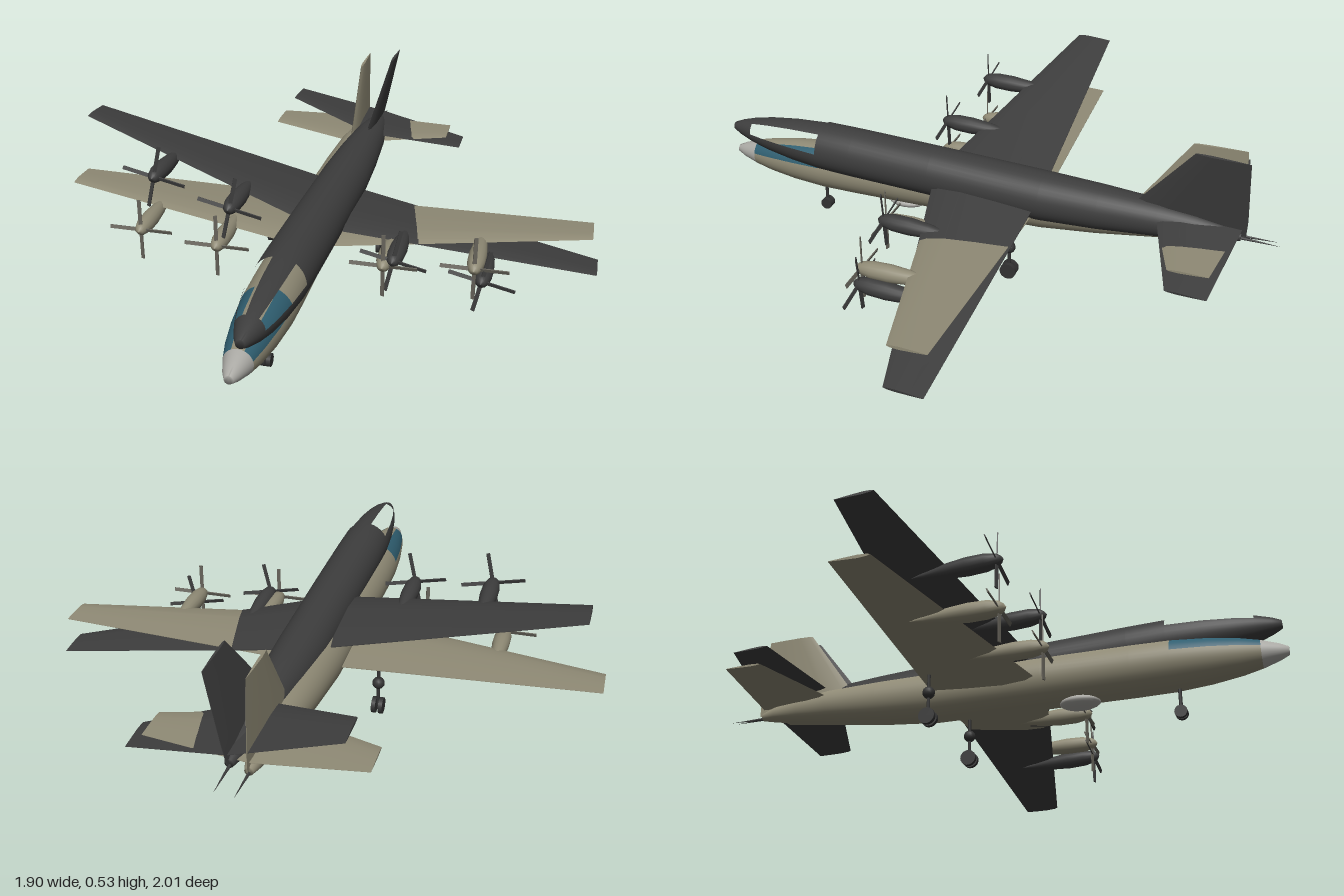
import * as THREE from 'three';
import { toCreasedNormals } from 'three/addons/utils/BufferGeometryUtils.js';

const mat = (name, color) => {
  const m = new THREE.MeshStandardMaterial({ color });
  m.name = name;
  return m;
};

function add(parent, name, geometry, material, x = 0, y = 0, z = 0) {
  const m = new THREE.Mesh(geometry, material);
  m.name = name;
  m.position.set(x, y, z);
  parent.add(m);
  return m;
}

// Skin closed cross-sections; group(i, j) sorts each quad into a named index list
function loft(rings, group) {
  const n = rings[0].length, pos = rings.flat(2), all = [], parts = {};
  const put = (key, ...ids) => { (parts[key] ??= []).push(...ids); all.push(...ids); };
  for (let i = 0; i < rings.length - 1; i++) {
    for (let j = 0; j < n; j++) {
      const k = (j + 1) % n, a = i * n + j, b = a + n, c = i * n + k, d = c + n;
      put(group(i, j), a, b, c, b, d, c);
    }
  }
  const last = (rings.length - 1) * n;
  for (let j = 1; j < n - 1; j++) {
    put(group(0, 0), 0, j, j + 1);
    put(group(rings.length - 2, 0), last, last + j + 1, last + j);
  }
  const base = new THREE.BufferGeometry();
  base.setAttribute('position', new THREE.Float32BufferAttribute(pos, 3));
  base.setIndex(all);
  base.computeVertexNormals();
  const out = {};
  for (const key in parts) out[key] = base.clone().setIndex(parts[key]);
  return out;
}

// Aerofoil surface; stations are [span, leading z, trailing z, y, thickness]
const FOIL = [[0, 0], [0.08, 0.32], [0.3, 0.5], [0.65, 0.32], [1, 0.04], [1, -0.04], [0.65, -0.32], [0.3, -0.5], [0.08, -0.32]];
function wingGeometry(stations) {
  const rings = stations.map(([x, le, te, y, t]) => FOIL.map(([c, h]) => [x, y + h * t, le + (te - le) * c]));
  return toCreasedNormals(loft(rings, () => 'skin').skin, 0.6);
}
const mirrored = (root, tip) => [[-tip[0], ...tip.slice(1)], root, tip];

// Fuselage stations, tail to nose: [z, radius, centre height]
const BODY = [
  [-0.87, 0.014, 0.016], [-0.82, 0.028, 0.02], [-0.72, 0.046, 0.021], [-0.6, 0.062, 0.018], [-0.4, 0.077, 0.008],
  [-0.2, 0.086, 0], [0.2, 0.088, 0], [0.5, 0.088, 0], [0.63, 0.086, 0], [0.75, 0.076, 0], [0.85, 0.061, 0],
  [0.915, 0.046, 0], [0.97, 0.028, 0], [1.0, 0.014, 0],
];
function fuselageParts() {
  const rings = BODY.map(([z, r, cy]) => Array.from({ length: 36 }, (_, j) => {
    const a = THREE.MathUtils.degToRad(5 + 10 * j);
    return [r * Math.sin(a), cy + r * Math.cos(a), z];
  }));
  return loft(rings, (i, j) => {
    if (BODY[i][0] > 0.9) return 'nose';
    const side = (j >= 2 && j <= 6) || (j >= 28 && j <= 32);
    return side && BODY[i][0] > 0.62 ? 'windows' : 'body';
  });
}

// Engine pod with a spinner and a four-bladed propeller
function engine(skin, prop, front, twist) {
  const g = new THREE.Group();
  g.name = 'engine';
  const profile = [[0, -0.3], [0.012, -0.25], [0.024, -0.18], [0.03, -0.11], [0.029, -0.05], [0.021, -0.012], [0.012, 0], [0, 0.008]];
  const pod = new THREE.LatheGeometry(profile.map(([r, y]) => new THREE.Vector2(r, y)), 16).rotateX(Math.PI / 2);
  add(g, 'nacelle', pod, skin);
  const propeller = new THREE.Group();
  propeller.name = 'propeller';
  for (let k = 0; k < 4; k++) {
    const blade = new THREE.BoxGeometry(0.013, 0.1, 0.004).rotateY(0.35).translate(0, 0.062, 0);
    add(propeller, 'blade', blade.rotateZ(k * Math.PI / 2), prop);
  }
  propeller.position.z = -0.014;
  propeller.rotation.z = twist;
  g.add(propeller);
  g.position.z = front;
  return g;
}

function airframe(name, c, twist) {
  const g = new THREE.Group();
  g.name = name;
  const parts = fuselageParts();
  add(g, 'fuselage', parts.body, c.skin);
  add(g, 'noseCone', parts.nose, c.nose);
  // The dark airframe has open window frames
  if (c.glass) add(g, 'cockpitWindows', parts.windows, c.glass);

  add(g, 'wing', wingGeometry(mirrored([0, 0.2, -0.187, -0.01, 0.036], [0.937, -0.033, -0.16, 0.016, 0.011])), c.skin);
  add(g, 'tailplane', wingGeometry(mirrored([0, -0.585, -0.87, 0.045, 0.02], [0.345, -0.7, -0.83, 0.052, 0.008])), c.skin);
  const fin = wingGeometry([[0.02, -0.47, -0.885, 0, 0.024], [0.085, -0.53, -0.885, 0, 0.022], [0.318, -0.695, -0.868, 0, 0.01]]);
  add(g, 'fin', fin.rotateZ(Math.PI / 2), c.skin);
  add(g, 'tailSpike', new THREE.ConeGeometry(0.006, 0.15, 8).rotateX(-Math.PI / 2), c.spike, 0, 0.01, -0.925);

  for (const side of [-1, 1]) {
    for (const [x, front] of [[0.573, 0.232], [0.283, 0.282]]) {
      const e = engine(c.skin, c.prop, front, twist);
      e.position.x = side * x;
      e.position.y = -0.007;
      g.add(e);
    }
  }
  return g;
}

// Leg with a pair of wheels standing on the ground
function landingGear(name, leg, tyre, x, z, r, top, gap) {
  const g = new THREE.Group();
  g.name = name;
  add(g, 'strut', new THREE.CylinderGeometry(0.006, 0.006, top - r, 8), leg, 0, (top + r) / 2, 0);
  add(g, 'axle', new THREE.CylinderGeometry(0.005, 0.005, gap * 2, 8).rotateZ(Math.PI / 2), leg, 0, r, 0);
  for (const s of [-1, 1]) {
    add(g, 'wheel', new THREE.CylinderGeometry(r, r, 0.014, 18).rotateZ(Math.PI / 2), tyre, s * gap, r, 0);
  }
  g.position.set(x, 0, z);
  return g;
}

export function createModel() {
  const tan = mat('tan paint', 0x8f8a75), dark = mat('dark grey paint', 0x3d3d3d);
  const pale = mat('pale grey', 0xaaa9a4), blue = mat('blue glass', 0x2f5e70);
  const bladeGrey = mat('propeller grey', 0x66635a), rubber = mat('rubber', 0x333333);

  const model = new THREE.Group();
  model.name = 'pairedAircraft';

  // Level tan airframe
  const lower = airframe('tanAirframe', { skin: tan, nose: pale, glass: blue, prop: bladeGrey, spike: dark }, 0);
  lower.position.set(-0.014, 0.187, 0);
  model.add(lower);

  // Banked dark airframe, slightly nose-up
  const upper = airframe('darkAirframe', { skin: dark, nose: dark, glass: null, prop: dark, spike: dark }, 0);
  upper.position.set(0.028, 0.252, -0.012);
  upper.rotation.set(-0.047, -0.01, -0.21);
  model.add(upper);

  // Belly fairing
  const fairing = add(model, 'bellyFairing', new THREE.SphereGeometry(1, 20, 12), pale, -0.014, 0.1, 0.315);
  fairing.scale.set(0.048, 0.022, 0.07);

  // Undercarriage
  model.add(landingGear('noseGear', rubber, rubber, -0.014, 0.645, 0.021, 0.12, 0.009));
  for (const s of [-1, 1]) {
    const x = -0.014 + s * 0.203;
    const gear = landingGear('mainGear', rubber, rubber, x, -0.145, 0.028, 0.18, 0.012);
    add(gear, 'legHousing', new THREE.SphereGeometry(0.021, 14, 10), rubber, 0, 0.115, 0);
    model.add(gear);
  }
  return model;
}
